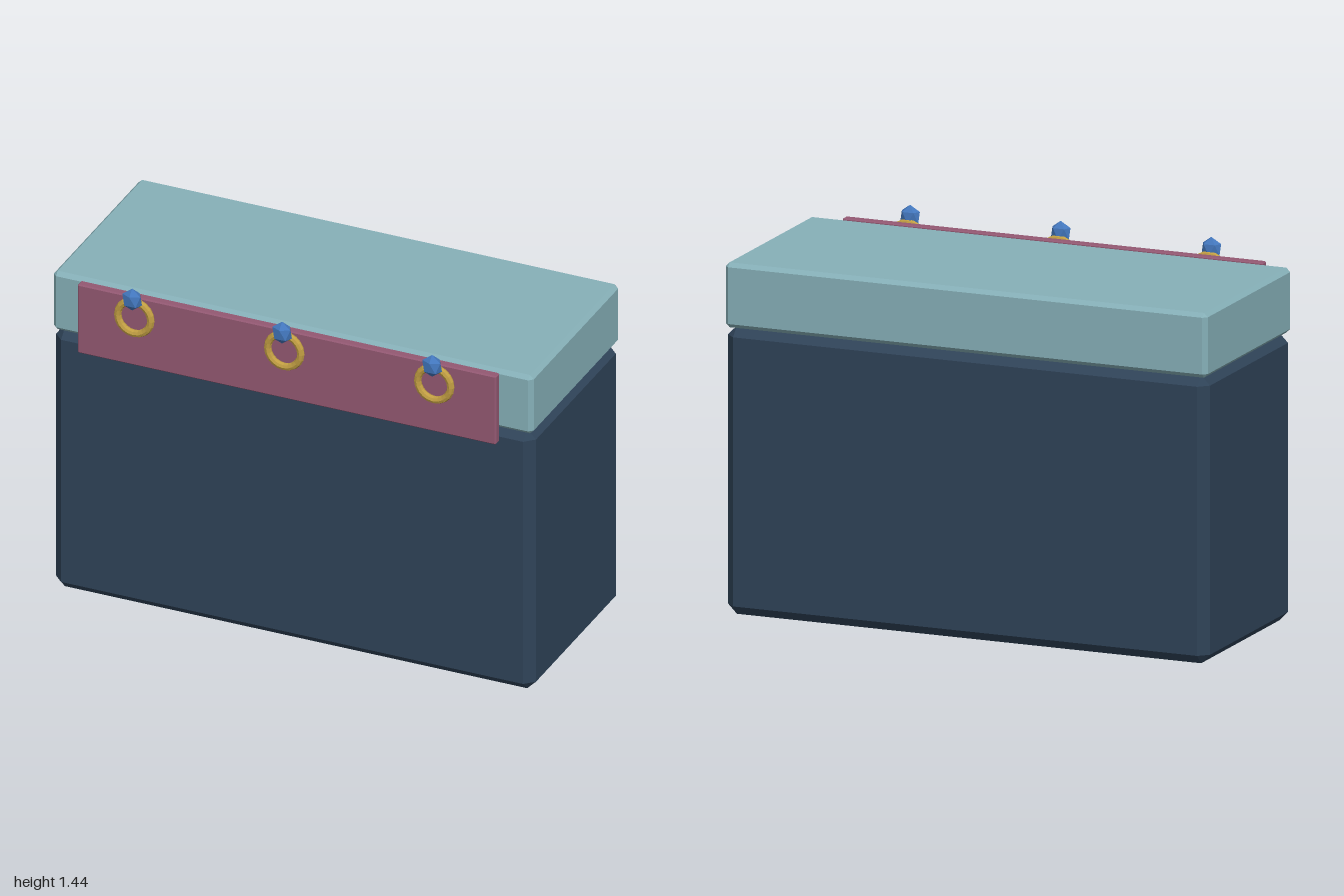
import * as THREE from 'three';
import { ConvexGeometry } from 'three/addons/geometries/ConvexGeometry.js';

// Box between two corners with every edge cut at 45 degrees
function chamferBox(min, max, c) {
  const pts = [];
  for (const x of [0, 1]) for (const y of [0, 1]) for (const z of [0, 1]) {
    const side = [x, y, z];
    for (let face = 0; face < 3; face++) {
      const p = side.map((s, i) => {
        const inset = i === face ? 0 : c;
        return s ? max[i] - inset : min[i] + inset;
      });
      pts.push(new THREE.Vector3(...p));
    }
  }
  return new ConvexGeometry(pts);
}

function material(name, color, flatShading = false) {
  const m = new THREE.MeshStandardMaterial({ color, flatShading });
  m.name = name;
  return m;
}

export function createModel() {
  const group = new THREE.Group();
  group.name = 'chest';

  const navy = material('navy', 0x2f4358);
  const teal = material('teal', 0x86b0b8);
  const plum = material('plum', 0x935872);
  const gold = material('gold', 0xc09d42, true);
  const blue = material('blue', 0x4377bd, true);

  const add = (name, geometry, mat, parent = group) => {
    const mesh = new THREE.Mesh(geometry, mat);
    mesh.name = name;
    parent.add(mesh);
    return mesh;
  };

  // Main block, lid and the front strip standing just clear of the lid
  add('body', chamferBox([-1, 0, -0.463], [1, 1.127, 0.345], 0.037), navy);
  add('lid', chamferBox([-1, 1.124, -0.463], [1, 1.378, 0.345], 0.016), teal);
  add('frontStrip', chamferBox([-0.872, 1.08, 0.36], [0.872, 1.378, 0.396], 0.005), plum);

  // Ring and gem, repeated three times along the strip
  const ringGeometry = new THREE.TorusGeometry(0.069, 0.0148, 8, 20);
  const gemGeometry = new THREE.IcosahedronGeometry(1, 0);
  gemGeometry.rotateX(-Math.atan((1 + Math.sqrt(5)) / 2)); // stand it on a point
  gemGeometry.scale(0.044, 0.0475, 0.029);

  for (const x of [-0.625, 0, 0.625]) {
    const ornament = new THREE.Group();
    ornament.name = 'ornament';
    ornament.position.x = x;
    group.add(ornament);
    add('ring', ringGeometry, gold, ornament).position.set(0, 1.302, 0.417);
    add('gem', gemGeometry, blue, ornament).position.set(0, 1.39, 0.437);
  }

  return group;
}
